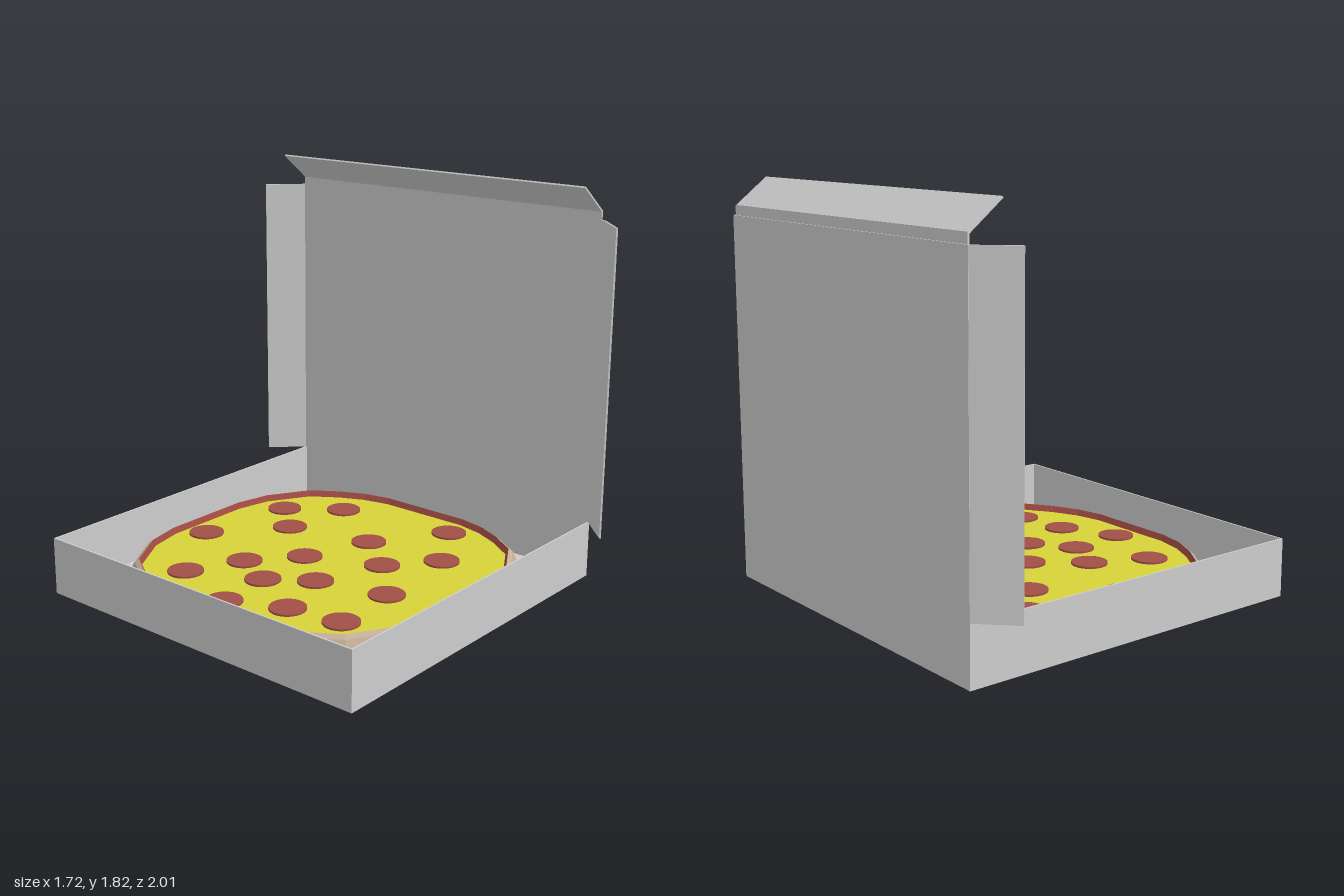
import * as THREE from 'three';

const mat = (name, color) => {
  const m = new THREE.MeshStandardMaterial({ color });
  m.name = name;
  return m;
};

export function createModel() {
  const card = mat('grey card', 0xcdcdcd);
  const crustMat = mat('baked crust', 0xc4ae98);
  const sauceMat = mat('tomato sauce', 0xa04a42);
  const cheeseMat = mat('yellow cheese', 0xd6d238);
  const pepperoniMat = mat('pepperoni red', 0xa04f47);

  const model = new THREE.Group();
  model.name = 'openPizzaBox';
  const add = (name, geometry, material, parent = model) => {
    const mesh = new THREE.Mesh(geometry, material);
    mesh.name = name;
    parent.add(mesh);
    return mesh;
  };

  // Card plate given by its minimum and maximum corners
  const plate = (name, a, b, parent) => {
    const size = a.map((v, i) => b[i] - v);
    const mesh = add(name, new THREE.BoxGeometry(...size), card, parent);
    mesh.position.set(...a.map((v, i) => (v + b[i]) / 2));
    return mesh;
  };

  // Tray
  const R = 0.86, T = 0.008, H = 0.265;
  const tray = new THREE.Group();
  tray.name = 'tray';
  model.add(tray);
  plate('floor', [-R, 0, -R], [R, T, R], tray);
  plate('frontWall', [-R, T, R - T], [R, H, R], tray);
  plate('backWall', [-R, T, -R], [R, H, T - R], tray);
  plate('outerWall', [-R, T, T - R], [T - R, H, R - T], tray);
  plate('hingeWall', [R - T, T, T - R], [R, H, R - T], tray);

  // Upright lid with folded flaps
  const lid = new THREE.Group();
  lid.name = 'lid';
  model.add(lid);
  plate('lidPanel', [R - T, H, -R], [R, 1.66, R], lid);
  plate('lidEdgeStrip', [0.845, 1.66, -0.85], [0.853, 1.705, 0.85], lid);
  const tuck = add('tuckFlap', new THREE.BoxGeometry(0.195, T, 1.7), card, lid);
  tuck.position.set(0.772, 1.76, 0);
  tuck.rotation.z = -Math.atan2(0.12, 0.153);
  for (const s of [1, -1]) {
    const flap = add('sideFlap', new THREE.BoxGeometry(0.2, 1.395, T), card, lid);
    flap.position.set(0.786, 0.9625, s * 0.929);
    flap.rotation.y = s * Math.PI / 4;
  }

  // Rounded-square pizza outline: one corner mirrored into four
  const corner = [[0.81, 0.24], [0.78, 0.38], [0.72, 0.51], [0.63, 0.645], [0.42, 0.77], [0.24, 0.81]];
  const flip = (sx, sz) => corner.map(([x, z]) => [x * sx, z * sz]);
  const outline = [
    ...flip(1, 1), ...flip(-1, 1).reverse(), ...flip(-1, -1), ...flip(1, -1).reverse(),
  ];
  const ring = ([r, y]) => outline.map(([x, z]) => [x * r / 0.81, y, z * r / 0.81]);

  // Faceted band lofted through [radius, height] steps, from the outside inward
  const loft = (profile) => {
    const pos = [];
    for (let k = 0; k + 1 < profile.length; k++) {
      const a = ring(profile[k]), b = ring(profile[k + 1]);
      for (let i = 0; i < a.length; i++) {
        const j = (i + 1) % a.length;
        pos.push(...a[i], ...b[i], ...b[j], ...a[i], ...b[j], ...a[j]);
      }
    }
    const g = new THREE.BufferGeometry();
    g.setAttribute('position', new THREE.Float32BufferAttribute(pos, 3));
    g.computeVertexNormals();
    return g;
  };

  const pizza = new THREE.Group();
  pizza.name = 'pizza';
  model.add(pizza);
  add('crust', loft([[0, 0.012], [0.785, 0.012], [0.81, 0.06], [0.775, 0.135], [0.757, 0.15]]), crustMat, pizza);
  add('sauceRim', loft([[0.757, 0.15], [0.745, 0.122]]), sauceMat, pizza);
  add('cheese', loft([[0.745, 0.122], [0, 0.122]]), cheeseMat, pizza);

  // Pepperoni slices
  const spots = [
    [-0.12, -0.64], [0.36, -0.57], [-0.51, -0.385], [0.19, -0.385], [0.535, -0.335], [-0.255, -0.265],
    [-0.63, -0.03], [-0.355, -0.06], [-0.04, -0.09], [0.285, 0.025], [-0.22, 0.13], [-0.51, 0.225],
    [0.105, 0.245], [0.62, 0.245], [-0.47, 0.485], [-0.135, 0.46], [0.32, 0.42],
  ];
  const slice = new THREE.CylinderGeometry(0.082, 0.082, 0.009, 32);
  for (const [x, z] of spots) {
    add('pepperoni', slice, pepperoniMat, pizza).position.set(x, 0.1265, z);
  }
  return model;
}
